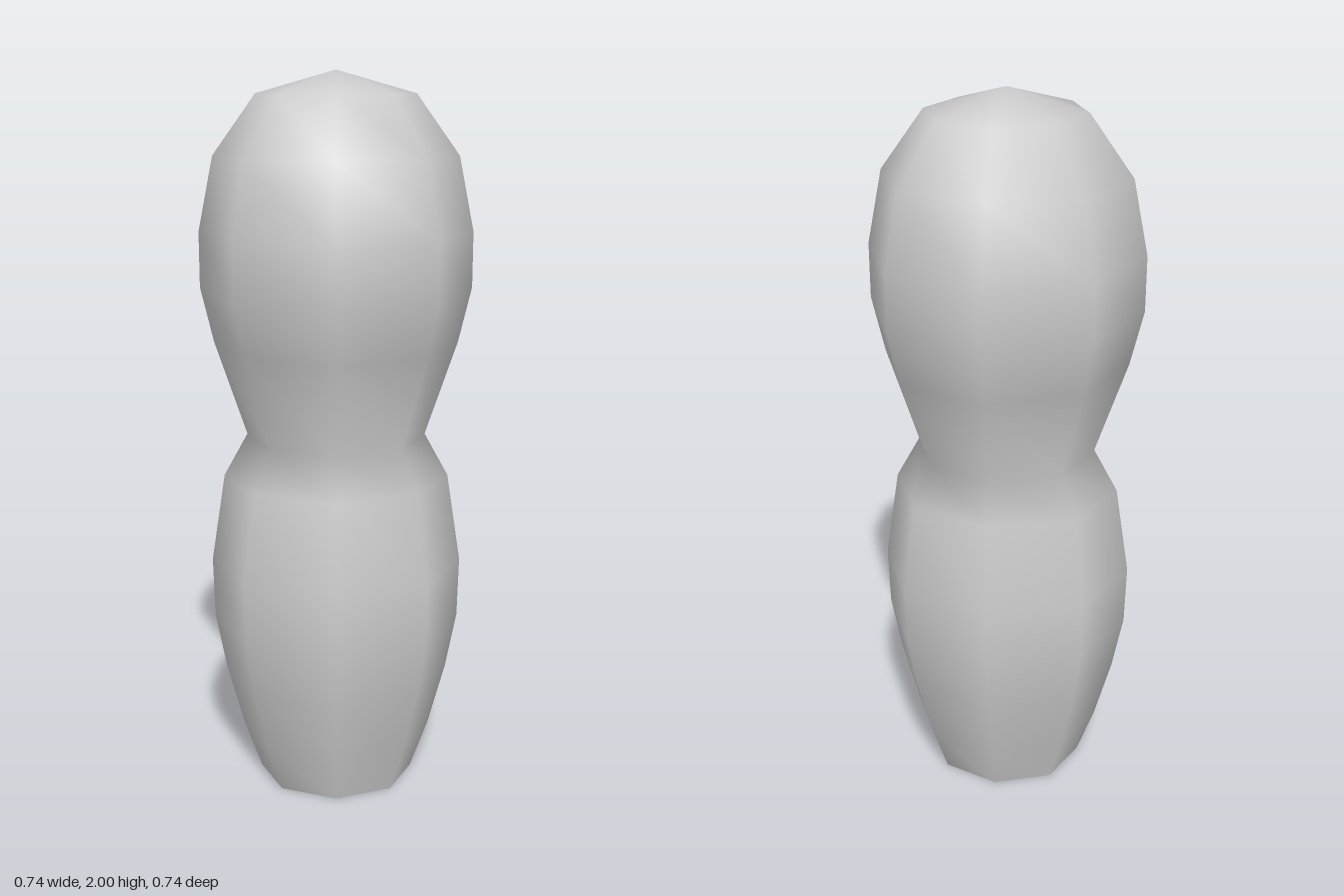
import * as THREE from 'three';
import { mergeVertices } from 'three/addons/utils/BufferGeometryUtils.js';

const SIDES = 8;

// Rings from bottom to top: [height, half width in x, half depth in z]
const rings = [
  [0, 0.22, 0.2], [0.14, 0.27, 0.24], [0.32, 0.318, 0.285], [0.48, 0.348, 0.309],
  [0.65, 0.352, 0.311], [0.9, 0.313, 0.276], [1.02, 0.247, 0.247],
  [1.28, 0.334, 0.334], [1.43, 0.369, 0.369], [1.58, 0.369, 0.369],
  [1.78, 0.328, 0.328], [1.94, 0.212, 0.212], [2, 0, 0],
];

export function createModel() {
  const group = new THREE.Group();
  group.name = 'peg';
  const material = new THREE.MeshStandardMaterial({ color: 0xcccccc });

  // Eight-sided body and head in one skin, flattened in z below the neck
  let skin = new THREE.LatheGeometry(rings.map(([y, x]) => new THREE.Vector2(x, y)), SIDES);
  const pos = skin.attributes.position;
  for (let i = 0; i < pos.count; i++) {
    const [, x, z] = rings[i % rings.length];
    if (x > 0) pos.setZ(i, pos.getZ(i) * z / x);
  }
  // Weld the seam so that the shading is smooth all round
  skin.deleteAttribute('uv');
  skin.deleteAttribute('normal');
  skin = mergeVertices(skin, 1e-4);
  skin.computeVertexNormals();
  const body = new THREE.Mesh(skin, material);
  body.name = 'bodyAndHead';

  // Flat base facing down
  const cap = new THREE.CircleGeometry(1, SIDES);
  cap.rotateX(Math.PI / 2);
  cap.scale(rings[0][1], 1, rings[0][2]);
  const base = new THREE.Mesh(cap, material);
  base.name = 'base';

  group.add(body, base);
  return group;
}
